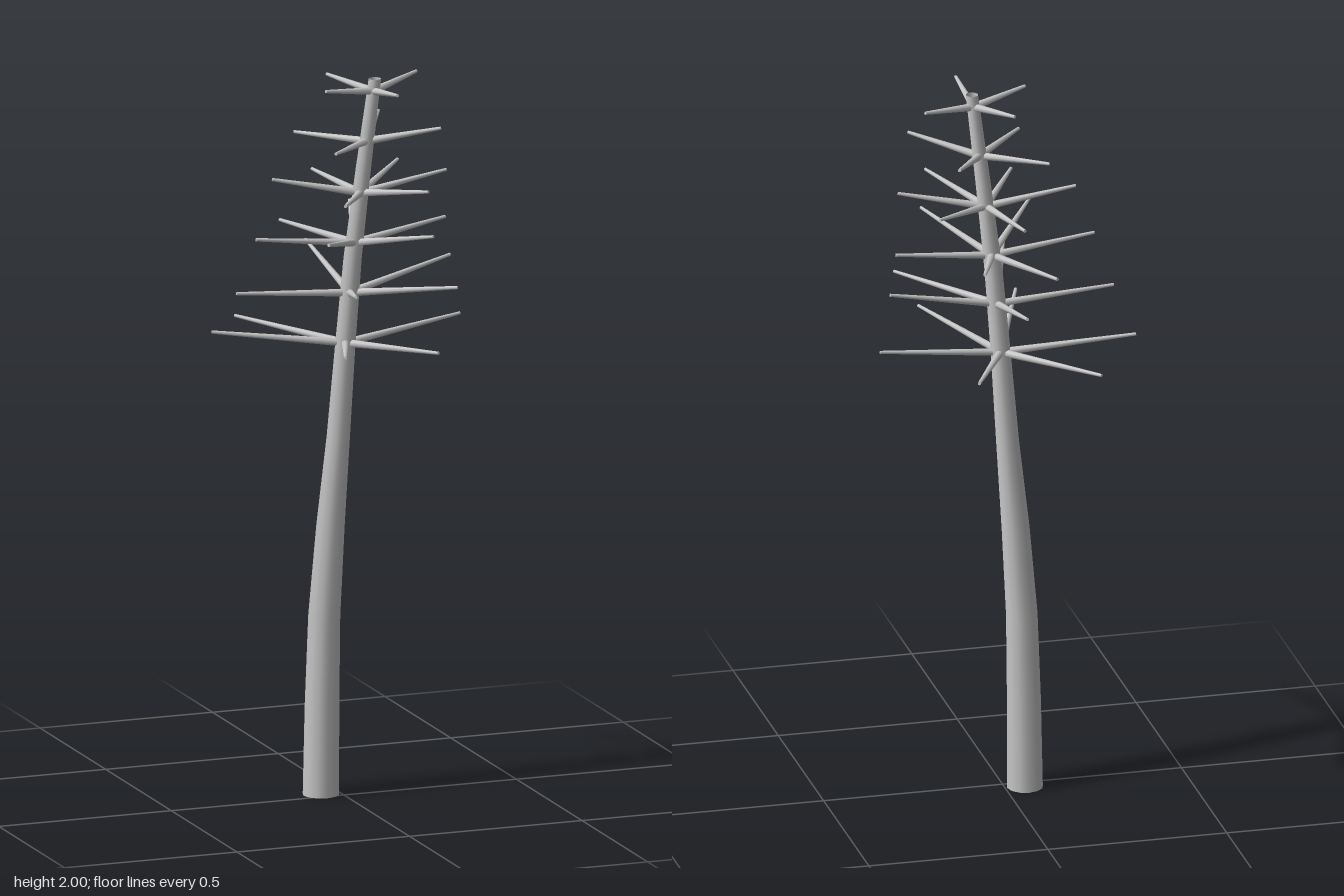
import * as THREE from 'three';

// Trunk rings every 0.25 up: centre x, centre z, radius
const RINGS = [
  [-0.055, -0.03, 0.05],
  [-0.053, -0.027, 0.0475],
  [-0.048, -0.023, 0.044],
  [-0.032, -0.018, 0.039],
  [-0.011, -0.013, 0.032],
  [0.006, -0.006, 0.028],
  [0.025, 0.002, 0.025],
  [0.05, 0.018, 0.021],
  [0.077, 0.034, 0.017],
];

// Whorls of bare branches: base height, then tips as [x, y, z]
const WHORLS = [
  [1.26, [[-0.354, 1.305, -0.077], [0.352, 1.305, -0.04], [-0.12, 1.305, 0.328],
    [0.157, 1.29, 0.31], [0.149, 1.305, -0.332], [-0.2, 1.285, -0.305]]],
  [1.4, [[-0.31, 1.425, -0.003], [0.325, 1.47, -0.044], [0.012, 1.475, -0.323],
    [-0.08, 1.465, 0.304], [0.253, 1.44, 0.202]]],
  [1.54, [[-0.26, 1.575, 0.014], [0.306, 1.58, -0.032], [-0.134, 1.6, 0.237],
    [0.166, 1.6, 0.247], [-0.09, 1.555, -0.252], [0.115, 1.59, -0.26]]],
  [1.68, [[-0.2, 1.73, -0.02], [0.282, 1.73, 0.04], [0.16, 1.72, 0.224],
    [-0.08, 1.7, 0.222], [-0.005, 1.695, -0.23], [0.215, 1.72, -0.155]]],
  [1.825, [[-0.104, 1.835, -0.108], [0.232, 1.87, 0.13], [-0.088, 1.835, 0.17],
    [0.16, 1.86, -0.157]]],
  [1.965, [[-0.085, 1.99, 0.087], [0.227, 1.99, -0.044], [0.08, 1.99, 0.2],
    [-0.005, 1.985, -0.118]]],
];

// Trunk centre and radius at a height
function trunkAt(y) {
  const i = Math.min(Math.floor(y / 0.25), RINGS.length - 2);
  const t = y / 0.25 - i;
  const [x, z, r] = RINGS[i].map((v, k) => THREE.MathUtils.lerp(v, RINGS[i + 1][k], t));
  return { x, z, r };
}

// Move each ring of a unit cylinder onto the bent, tapering trunk line
function bendToTrunk(geometry) {
  const p = geometry.attributes.position;
  for (let i = 0; i < p.count; i++) {
    const y = p.getY(i) + 1;
    const { x, z, r } = trunkAt(y);
    p.setXYZ(i, x + p.getX(i) * r, y, z + p.getZ(i) * r);
  }
  return geometry;
}

export function createModel() {
  const model = new THREE.Group();
  model.name = 'bareTree';
  const bark = new THREE.MeshStandardMaterial({ color: 0xc6c6c6, side: THREE.DoubleSide });
  bark.name = 'light grey bark';

  // Hollow trunk, open at both ends
  const tube = new THREE.CylinderGeometry(1, 1, 2, 12, RINGS.length - 1, true);
  const trunk = new THREE.Mesh(bendToTrunk(tube), bark);
  trunk.name = 'trunk';
  model.add(trunk);

  // Branches, each a thin tapering rod from the trunk line to its tip
  const up = new THREE.Vector3(0, 1, 0);
  WHORLS.forEach(([height, tips], n) => {
    const whorl = new THREE.Group();
    whorl.name = `branchWhorl${n + 1}`;
    const { x, z } = trunkAt(height);
    const base = new THREE.Vector3(x, height, z);
    for (const tip of tips) {
      const end = new THREE.Vector3(...tip);
      const along = end.clone().sub(base);
      const branch = new THREE.Mesh(new THREE.CylinderGeometry(0.0045, 0.011, along.length(), 8), bark);
      branch.name = 'branch';
      branch.position.copy(base).add(end).multiplyScalar(0.5);
      branch.quaternion.setFromUnitVectors(up, along.normalize());
      whorl.add(branch);
    }
    model.add(whorl);
  });
  return model;
}
